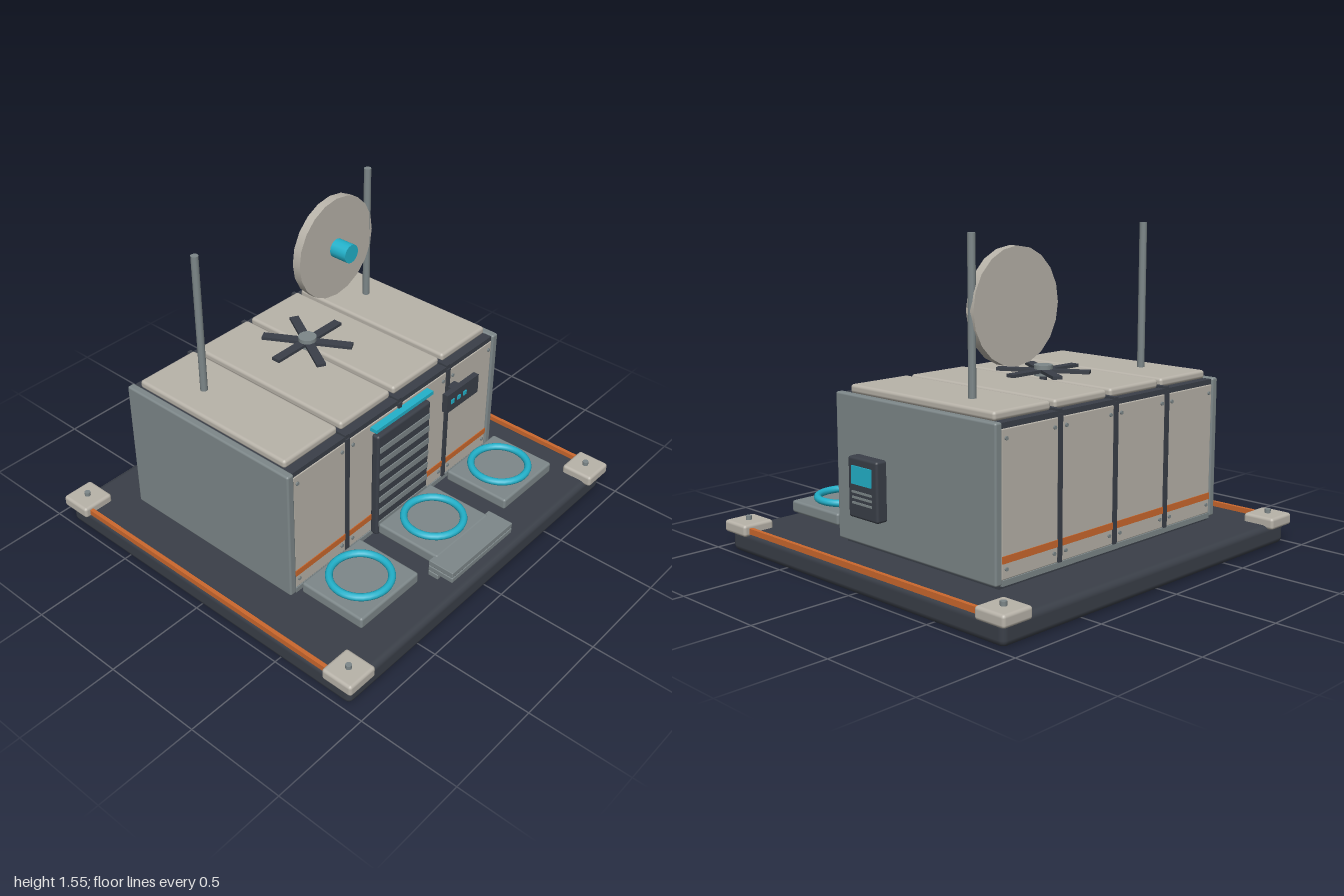
import * as THREE from 'three';
import { RoundedBoxGeometry } from 'three/addons/geometries/RoundedBoxGeometry.js';

const mat = (name, color) => {
  const m = new THREE.MeshStandardMaterial({ color });
  m.name = name;
  return m;
};

export function createModel() {
  const root = new THREE.Group();
  root.name = 'fieldStation';
  const tan = mat('warm panel', 0xb8b3a9);
  const grey = mat('steel grey', 0x7d8789);
  const dark = mat('charcoal', 0x3a3f48);
  const cyan = mat('cyan accent', 0x22b1ca);
  const orange = mat('orange trim', 0xcb682d);

  const add = (name, geo, material, x, y, z, parent = root) => {
    const m = new THREE.Mesh(geo, material);
    m.name = name;
    m.position.set(x, y, z);
    parent.add(m);
    return m;
  };
  // Box given by its limits on each axis; r rounds the edges
  const box = (name, material, [x0, x1], [y0, y1], [z0, z1], r = 0) => {
    const s = [x1 - x0, y1 - y0, z1 - z0];
    const geo = r ? new RoundedBoxGeometry(...s, 2, r) : new THREE.BoxGeometry(...s);
    return add(name, geo, material, (x0 + x1) / 2, (y0 + y1) / 2, (z0 + z1) / 2);
  };
  const cyl = (name, material, r, h, x, y, z, sides = 16, axis = 'y') => {
    const geo = new THREE.CylinderGeometry(r, r, h, sides);
    if (axis === 'z') geo.rotateX(Math.PI / 2);
    return add(name, geo, material, x, y, z);
  };
  const sides = [-1, 1];

  // Base slab, corner blocks with bolts, side rails
  box('baseSlab', dark, [-0.975, 0.975], [0, 0.11], [-0.912, 0.912], 0.03);
  for (const sx of sides) {
    for (const sz of sides) {
      const x = sx * 0.916, z = sz * 0.855;
      box('cornerBlock', tan, [x - 0.083, x + 0.083], [0.092, 0.15], [z - 0.083, z + 0.083], 0.015);
      cyl('cornerBolt', grey, 0.015, 0.025, x, 0.157, z, 10);
    }
    box('sideRail', orange, [sx * 0.962 - 0.01, sx * 0.962 + 0.01], [0.105, 0.133], [-0.78, 0.78]);
  }

  // Cabin core and end walls
  box('cabinCore', dark, [-0.72, 0.72], [0.1, 0.808], [-0.635, 0.35]);
  for (const s of sides) {
    box('endWall', grey, [s * 0.735 - 0.02, s * 0.735 + 0.02], [0.13, 0.815], [-0.652, 0.37], 0.01);
  }

  // Front and back cladding
  const panelX = [-0.545, -0.182, 0.182, 0.545];
  for (const face of [{ z: 0.35, s: 1 }, { z: -0.635, s: -1 }]) {
    const span = (a, b) => [face.z + face.s * a, face.z + face.s * b].sort((p, q) => p - q);
    box('sill', grey, [-0.715, 0.715], [0.125, 0.15], span(-0.01, 0.016));
    for (const x of panelX) {
      box('wallPanel', tan, [x - 0.17, x + 0.17], [0.15, 0.785], span(-0.01, 0.012), 0.005);
      box('orangeStripe', orange, [x - 0.168, x + 0.168], [0.22, 0.252], span(0.01, 0.016));
      for (const dx of [-0.145, 0.145]) {
        for (const y of [0.745, 0.195]) {
          cyl('panelScrew', grey, 0.009, 0.01, x + dx, y, face.z + face.s * 0.014, 8, 'z');
        }
      }
    }
    for (const x of [-0.365, 0, 0.365]) {
      box('seamRib', dark, [x - 0.011, x + 0.011], [0.15, 0.8], span(-0.01, 0.019));
    }
    box('header', dark, [-0.715, 0.715], [0.785, 0.81], span(-0.03, 0.008));
  }

  // Roof panels and seams
  for (const x of panelX) {
    box('roofPanel', tan, [x - 0.17, x + 0.17], [0.808, 0.85], [-0.605, 0.315], 0.015);
  }
  for (const x of [-0.365, 0, 0.365]) {
    box('roofSeam', dark, [x - 0.011, x + 0.011], [0.8, 0.82], [-0.65, 0.362]);
  }

  // Roof fan
  cyl('fanShaft', dark, 0.018, 0.09, 0, 0.84, -0.21, 10);
  cyl('fanHub', grey, 0.045, 0.05, 0, 0.89, -0.21, 12);
  for (let i = 0; i < 3; i++) {
    const blade = add('fanBlades', new THREE.BoxGeometry(0.44, 0.015, 0.045), dark, 0, 0.888, -0.21);
    blade.rotation.y = (i * Math.PI) / 3;
  }

  // Antenna poles and dish
  for (const s of sides) cyl('antennaPole', grey, 0.018, 0.72, s * 0.57, 1.19, -0.328, 10);
  cyl('dish', tan, 0.262, 0.045, 0.325, 1.223, -0.333, 20, 'z');
  cyl('dishFeed', cyan, 0.048, 0.095, 0.325, 1.223, -0.263, 16, 'z');

  // Shutter door with slats and light bar
  box('shutterDoor', dark, [-0.195, 0.187], [0.14, 0.725], [0.36, 0.402], 0.012);
  for (let i = 0; i < 7; i++) {
    const y = 0.645 - i * 0.073;
    box('shutterSlat', grey, [-0.182, 0.178], [y - 0.015, y + 0.015], [0.398, 0.407]);
  }
  box('doorLight', cyan, [-0.207, 0.205], [0.753, 0.772], [0.36, 0.4]);

  // Front control box
  box('controlBracket', dark, [0.36, 0.42], [0.65, 0.7], [0.355, 0.42]);
  box('controlBox', dark, [0.265, 0.51], [0.625, 0.727], [0.41, 0.44]);
  for (const x of [0.305, 0.353, 0.4]) {
    box('controlButton', cyan, [x - 0.011, x + 0.011], [0.668, 0.69], [0.438, 0.445]);
  }

  // Left wall terminal
  box('terminal', dark, [0.745, 0.81], [0.27, 0.55], [0.025, 0.225], 0.012);
  box('terminalScreen', cyan, [0.808, 0.816], [0.428, 0.512], [0.06, 0.195]);
  for (const y of [0.392, 0.367, 0.342]) {
    box('terminalVent', grey, [0.808, 0.814], [y - 0.005, y + 0.005], [0.06, 0.195]);
  }

  // Landing pads with glowing rings
  const ring = new THREE.TorusGeometry(0.142, 0.018, 10, 32).rotateX(Math.PI / 2);
  for (const x of [-0.53, 0, 0.53]) {
    cyl('padPost', dark, 0.03, 0.09, x, 0.14, 0.585, 10);
    box('pad', grey, [x - 0.198, x + 0.198], [0.167, 0.226], [0.412, 0.765], 0.012);
    add('padRing', ring, cyan, x, 0.242, 0.588);
  }

  // Entry steps
  for (const [y0, y1] of [[0.193, 0.222], [0.163, 0.19], [0.133, 0.16]]) {
    box('entryStep', grey, [-0.235, 0.228], [y0, y1], [0.745, y0 < 0.15 ? 0.8 : 0.882], 0.004);
  }
  return root;
}
